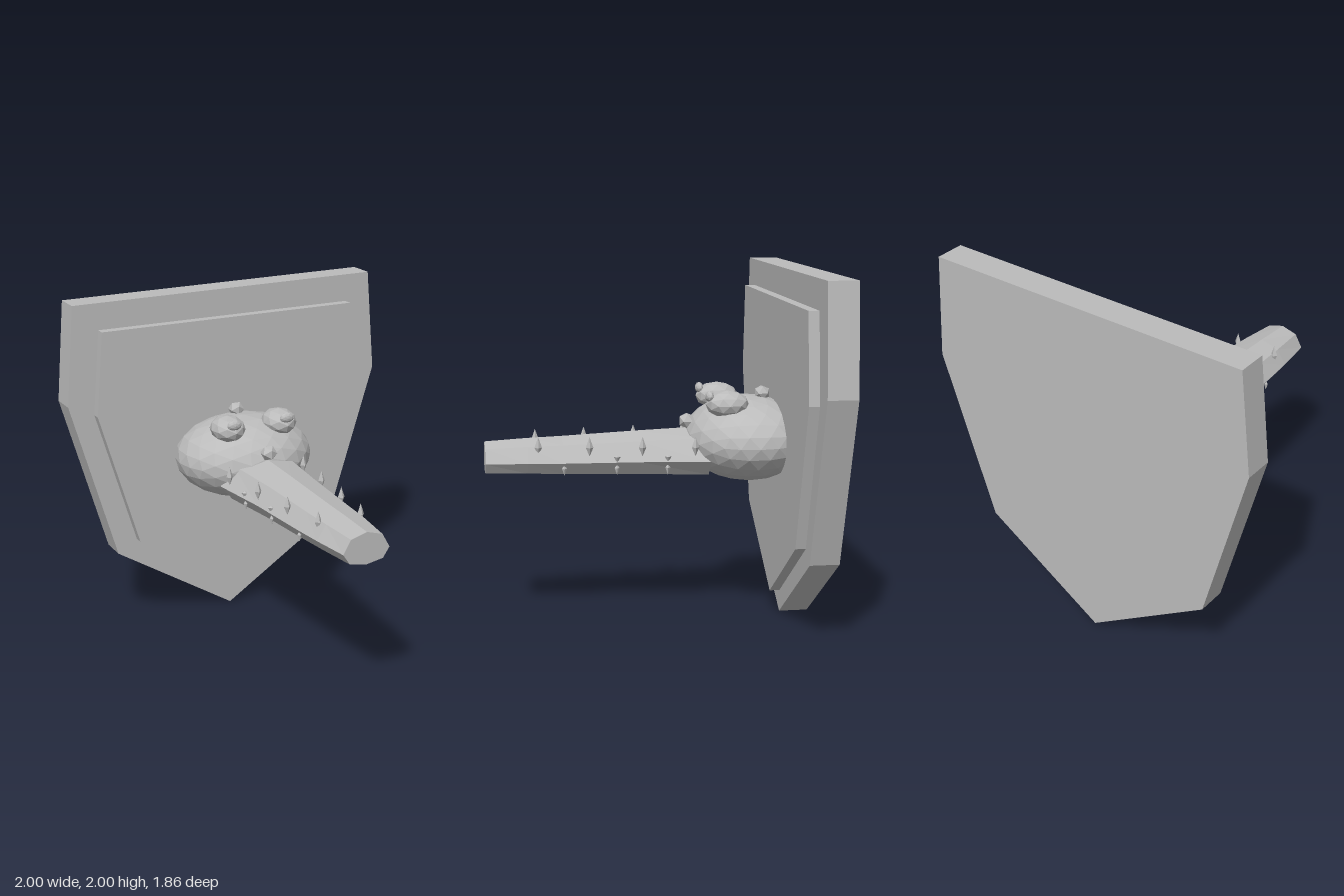
import * as THREE from 'three';

const stone = new THREE.MeshStandardMaterial({ color: 0xbbbbbb, flatShading: true });
stone.name = 'stone grey';

function add(parent, name, geometry, x = 0, y = 0, z = 0) {
  const mesh = new THREE.Mesh(geometry, stone);
  mesh.name = name;
  mesh.position.set(x, y, z);
  parent.add(mesh);
  return mesh;
}

// Flat board cut from an outline
function board(points, depth) {
  const shape = new THREE.Shape(points.map(([x, y]) => new THREE.Vector2(x, y)));
  return new THREE.ExtrudeGeometry(shape, { depth, bevelEnabled: false });
}

// Faceted ellipsoid
function blob(rx, ry, rz, detail) {
  return new THREE.IcosahedronGeometry(1, detail).scale(rx, ry, rz);
}

// Four-sided spindle: long point above, short point below
function spindle(radius, up, down) {
  const profile = [[0, -down], [radius, 0], [0, up]].map(([r, y]) => new THREE.Vector2(r, y));
  return new THREE.LatheGeometry(profile, 4);
}

// Eight-sided tapering snout, lofted through rings of [z, half width, bottom, top]
function snoutGeometry(rings) {
  const section = [[1, 0.42], [0.68, 0.85], [0, 1], [-0.68, 0.85], [-1, 0.42], [-0.72, 0.1], [0, 0], [0.72, 0.1]];
  const n = section.length;
  const positions = [];
  const index = [];
  for (const [z, w, y0, y1] of rings) {
    for (const [u, v] of section) positions.push(u * w - 0.006, y0 + v * (y1 - y0), z);
  }
  for (let r = 0; r < rings.length - 1; r++) {
    for (let i = 0; i < n; i++) {
      const a = r * n + i, b = r * n + (i + 1) % n;
      index.push(a, b, b + n, a, b + n, a + n);
    }
  }
  // End caps
  const last = (rings.length - 1) * n;
  for (let i = 1; i < n - 1; i++) {
    index.push(last, last + i, last + i + 1);
    index.push(0, i + 1, i);
  }
  const geometry = new THREE.BufferGeometry();
  geometry.setAttribute('position', new THREE.Float32BufferAttribute(positions, 3));
  geometry.setIndex(index);
  geometry.computeVertexNormals();
  return geometry;
}

export function createModel() {
  const model = new THREE.Group();
  model.name = 'mountedHead';

  // Shield-shaped mounting plaque
  add(model, 'backPlaque', board([
    [-0.95, 1.985], [-1, 1.4], [-0.73, 0.455], [0, 0], [0.7, 0.46], [1, 1.4], [0.955, 2],
  ], 0.165), 0, 0, -0.925);
  add(model, 'frontPlaque', board([
    [-0.8, 1.83], [-0.845, 1.335], [-0.61, 0.53], [0, 0.125], [0.61, 0.53], [0.85, 1.345], [0.8, 1.835],
  ], 0.06), 0, 0, -0.762);

  // Head
  add(model, 'head', blob(0.41, 0.24, 0.36, 3), 0, 1.04, -0.55);
  add(model, 'crownWart', blob(0.048, 0.045, 0.048, 0), 0, 1.29, -0.64);
  add(model, 'noseWart', blob(0.05, 0.047, 0.05, 0), 0, 1.14, -0.21);

  // Snout
  add(model, 'snout', snoutGeometry([
    [-0.305, 0.255, 0.835, 1.105],
    [0.08, 0.21, 0.847, 1.09],
    [0.5, 0.182, 0.858, 1.07],
    [0.7, 0.167, 0.865, 1.063],
    [0.93, 0.137, 0.87, 1.05],
  ]));

  for (const side of [-1, 1]) {
    const label = side > 0 ? 'left' : 'right';

    // Bulging eye with its pupil
    add(model, label + 'Eye', blob(0.1, 0.077, 0.122, 1), side * 0.165, 1.257, -0.408);
    add(model, label + 'Pupil', blob(0.045, 0.031, 0.024, 1), side * 0.168, 1.302, -0.308);

    // Upper teeth standing along the snout
    for (const [z, x] of [[0.64, 0.128], [0.36, 0.166], [0.07, 0.2], [-0.22, 0.237]]) {
      add(model, label + 'UpperTooth', spindle(0.021, 0.06, 0.05), side * x - 0.006, 1.03, z);
    }
    // Lower teeth between them
    for (const [z, x] of [[0.5, 0.165], [0.21, 0.185], [-0.07, 0.208]]) {
      add(model, label + 'LowerTooth', spindle(0.014, 0.022, 0.04), side * x - 0.006, 0.915, z);
    }
    // Small downward barbs
    for (const [z, x] of [[0.21, 0.192], [-0.07, 0.217]]) {
      add(model, label + 'Barb', spindle(0.02, 0.008, 0.034), side * x - 0.003, 0.98, z);
    }
  }
  return model;
}
